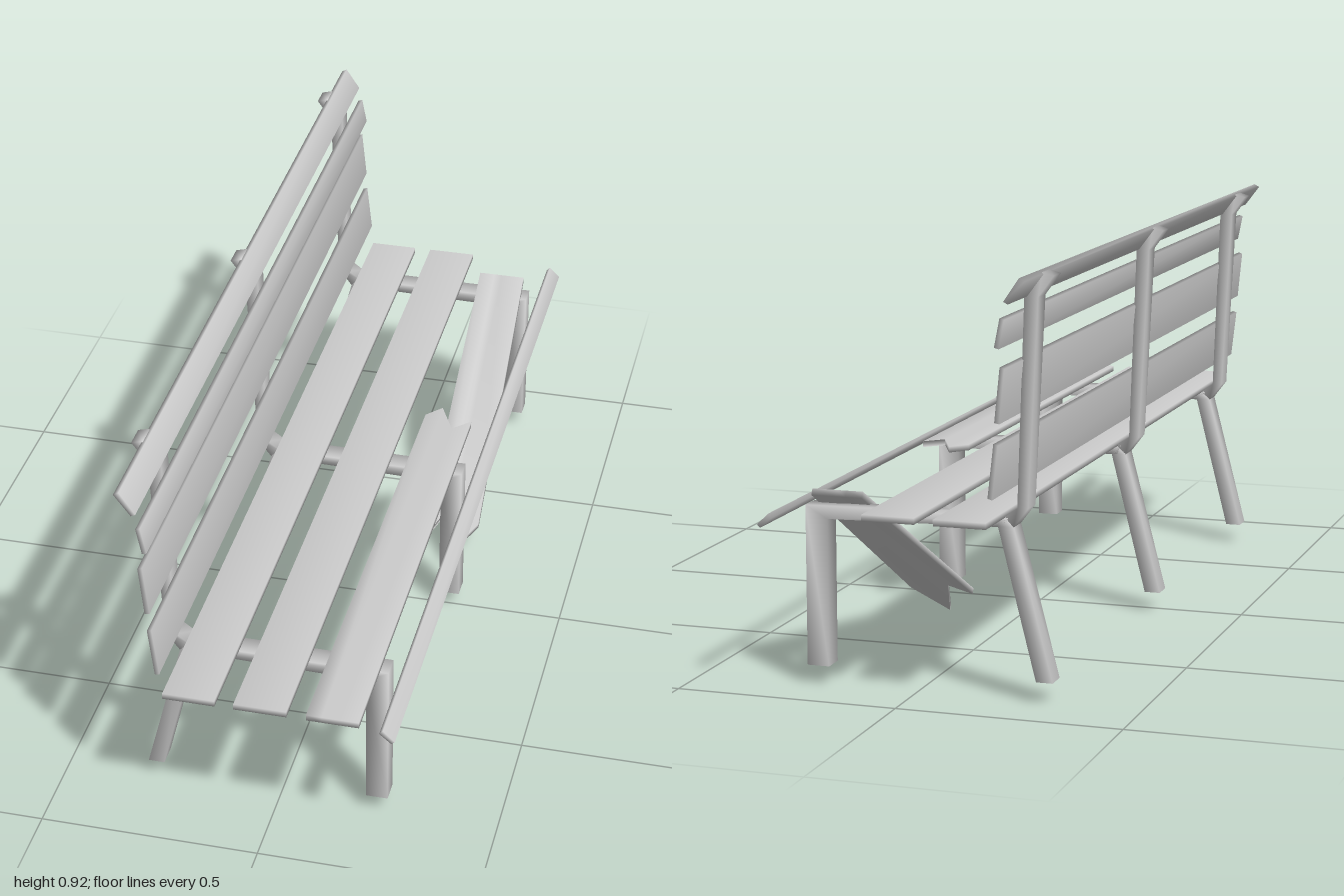
import * as THREE from 'three';

const material = new THREE.MeshStandardMaterial({ color: 0xcccccc });

// Closed solid through four-cornered rings, smooth shaded over shared corners
function loft(name, rings) {
  const points = rings.flat();
  const index = [];
  for (let r = 0; r < rings.length - 1; r++) {
    for (let i = 0; i < 4; i++) {
      const a = r * 4 + i, b = r * 4 + (i + 1) % 4;
      index.push(a, b, b + 4, a, b + 4, a + 4);
    }
  }
  const e = (rings.length - 1) * 4;
  index.push(0, 2, 1, 0, 3, 2, e, e + 1, e + 2, e, e + 2, e + 3);

  // Turn the faces outward whichever way the rings run
  const v = points.map((p) => new THREE.Vector3(...p));
  let volume = 0;
  for (let i = 0; i < index.length; i += 3) {
    volume += v[index[i]].dot(v[index[i + 1]].clone().cross(v[index[i + 2]]));
  }
  if (volume < 0) index.reverse();

  const geometry = new THREE.BufferGeometry().setFromPoints(v);
  geometry.setIndex(index);
  geometry.computeVertexNormals();
  const mesh = new THREE.Mesh(geometry, material);
  mesh.name = name;
  return mesh;
}

// Full-length slat from its four end corners (x, y)
const slat = (name, corners) =>
  loft(name, [-1, 1].map((z) => corners.map(([x, y]) => [x, y, z])));

// Frame bar from pairs of opposite edge points (x, y), given a width along z
const bar = (name, pairs, w = 0.025) =>
  loft(name, pairs.map(([[ax, ay], [bx, by]]) =>
    [[ax, ay, -w], [bx, by, -w], [bx, by, w], [ax, ay, w]]));

function createFrame() {
  const frame = new THREE.Group();
  frame.name = 'frame';
  frame.add(
    bar('backLeg', [
      [[-0.308, 0.05], [-0.271, 0.05]],
      [[-0.222, 0.382], [-0.187, 0.382]],
      [[-0.205, 0.4], [-0.187, 0.4]],
    ]),
    bar('backPost', [
      [[-0.222, 0.382], [-0.2, 0.402]],
      [[-0.254, 0.424], [-0.23, 0.424]],
      [[-0.276, 0.872], [-0.246, 0.872]],
      [[-0.31, 0.918], [-0.285, 0.925]],
    ]),
    bar('seatBarAndFrontLeg', [
      [[-0.21, 0.402], [-0.2, 0.381]],
      [[0.25, 0.4], [0.2, 0.372]],
      [[0.25, 0.045], [0.2, 0.045]],
    ]),
  );
  return frame;
}

export function createModel() {
  const bench = new THREE.Group();
  bench.name = 'bench';

  // Three frames along the length
  for (const z of [-0.85, -0.01, 0.777]) {
    const frame = createFrame();
    frame.position.z = z;
    bench.add(frame);
  }

  // Backrest slats, bottom to top
  [
    [[-0.23, 0.58], [-0.22, 0.583], [-0.207, 0.468], [-0.217, 0.465]],
    [[-0.244, 0.74], [-0.234, 0.743], [-0.222, 0.627], [-0.233, 0.625]],
    [[-0.244, 0.841], [-0.234, 0.844], [-0.222, 0.783], [-0.232, 0.78]],
    [[-0.288, 0.921], [-0.276, 0.928], [-0.242, 0.878], [-0.252, 0.873]],
  ].forEach((c) => bench.add(slat('backSlat', c)));

  // Whole seat slats and the loose front edge slat
  const low = 0.402, high = 0.416;
  for (const [a, b] of [[-0.203, -0.087], [-0.045, 0.072]]) {
    bench.add(slat('seatSlat', [[a, low], [a, high], [b, high], [b, low]]));
  }
  bench.add(slat('frontEdgeSlat',
    [[0.275, 0.395], [0.283, 0.404], [0.309, 0.379], [0.302, 0.372]]));

  // Snapped seat slat: the half still in place, with a jagged end
  bench.add(loft('brokenSlatInPlace',
    [[0.115, -0.2], [0.15, -0.24], [0.19, -0.155], [0.231, -0.195]].map(([x, z]) =>
      [[x, low, z], [x, high, z], [x, high, 1], [x, low, 1]])));

  // The half that has dropped, with splintered prongs at the low end
  const t = 0.013;
  bench.add(loft('brokenSlatFallen', [
    [0.117, 0.117, 0.06, -0.165],
    [0.155, 0.155, 0.095, -0.235],
    [0.175, 0.175, 0.016, -0.163],
    [0.233, 0.248, 0.083, -0.235],
  ].map(([topX, endX, y, z]) => [
    [topX, 0.424, -0.882], [topX, 0.437, -0.875],
    [endX, y, z], [endX, y - t, z - 0.006],
  ])));

  return bench;
}
